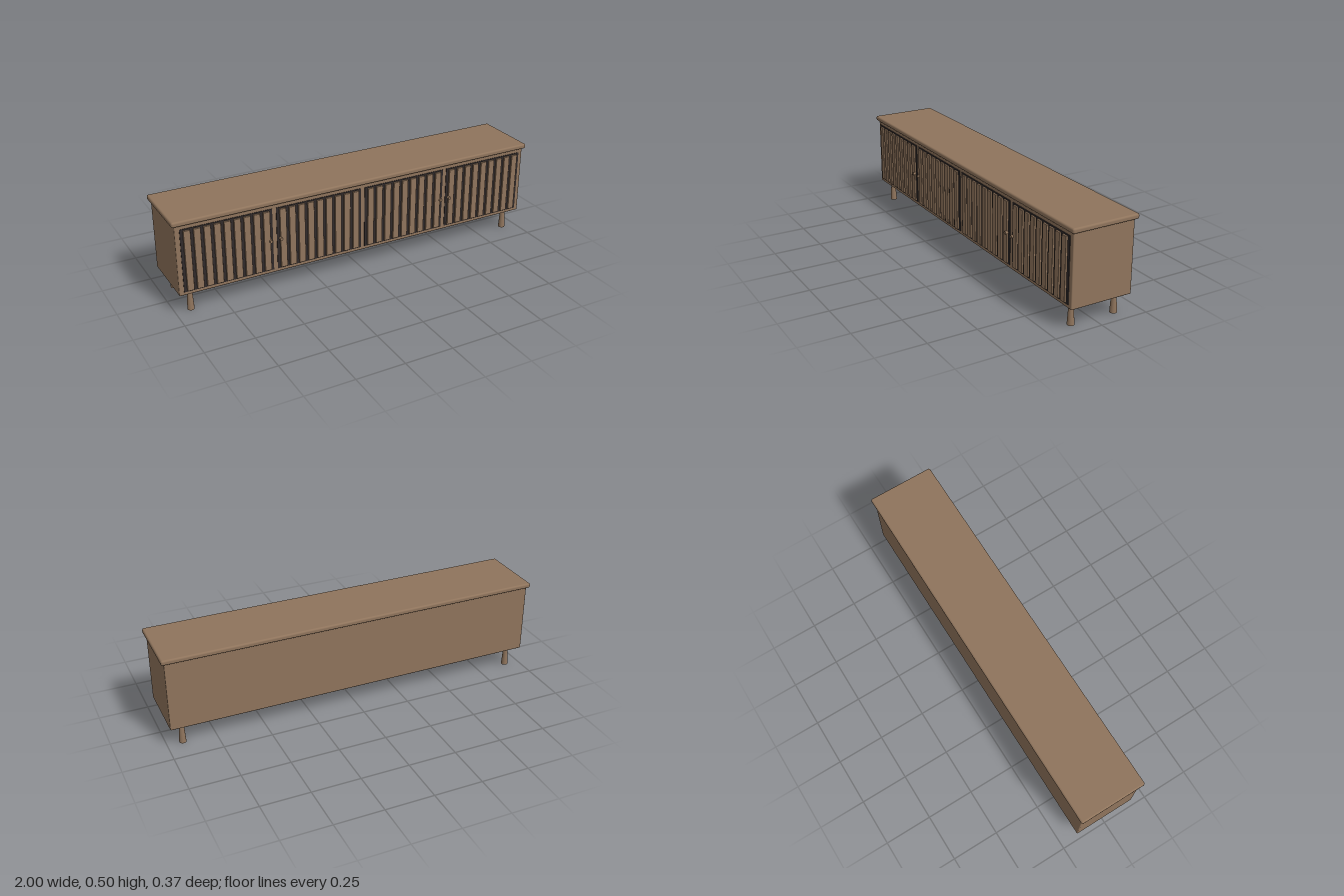
import * as THREE from 'three';
import { RoundedBoxGeometry } from 'three/addons/geometries/RoundedBoxGeometry.js';

export function createModel() {
  const model = new THREE.Group();
  model.name = 'sideboard';

  const wood = new THREE.MeshStandardMaterial({ color: 0x8f745c });
  wood.name = 'wood';
  const dark = new THREE.MeshStandardMaterial({ color: 0x302a2a });
  dark.name = 'dark backing';

  const add = (parent, name, geometry, material, x, y, z) => {
    const mesh = new THREE.Mesh(geometry, material);
    mesh.name = name;
    mesh.position.set(x, y, z);
    parent.add(mesh);
    return mesh;
  };

  // Box given by its size and the limits of y and z, with softened edges
  const slab = (width, y0, y1, z0, z1, radius) =>
    new RoundedBoxGeometry(width, y1 - y0, z1 - z0, 3, radius);

  // Cabinet and overhanging top
  add(model, 'cabinet', slab(1.97, 0.108, 0.476, -0.168, 0.161, 0.005), wood, 0, 0.292, -0.0035);
  add(model, 'top', slab(2, 0.476, 0.502, -0.182, 0.174, 0.009), wood, 0, 0.489, -0.004);

  // Four slatted doors, with knobs where each pair meets
  const doorWidth = 0.465, doorPitch = 0.486, slatCount = 9, slatPitch = 0.05;
  const backing = new THREE.BoxGeometry(doorWidth, 0.33, 0.008);
  const slat = slab(0.034, 0.132, 0.449, 0.161, 0.173, 0.002);
  const knob = new THREE.CylinderGeometry(0.008, 0.008, 0.016, 20).rotateX(Math.PI / 2);
  for (let d = 0; d < 4; d++) {
    const door = new THREE.Group();
    door.name = 'door';
    door.position.x = (d - 1.5) * doorPitch;
    model.add(door);
    add(door, 'doorBacking', backing, dark, 0, 0.291, 0.16);
    for (let i = 0; i < slatCount; i++) {
      add(door, 'slat', slat, wood, (i - (slatCount - 1) / 2) * slatPitch, 0.2905, 0.167);
    }
    const side = d % 2 === 0 ? 1 : -1;
    add(door, 'knob', knob, wood, side * 0.216, 0.2915, 0.175);
  }

  // Legs, wider at the floor
  const leg = new THREE.CylinderGeometry(0.0115, 0.0178, 0.11, 24);
  for (const x of [-0.92, 0.92]) {
    for (const z of [-0.122, 0.116]) add(model, 'leg', leg, wood, x, 0.055, z);
  }

  return model;
}
